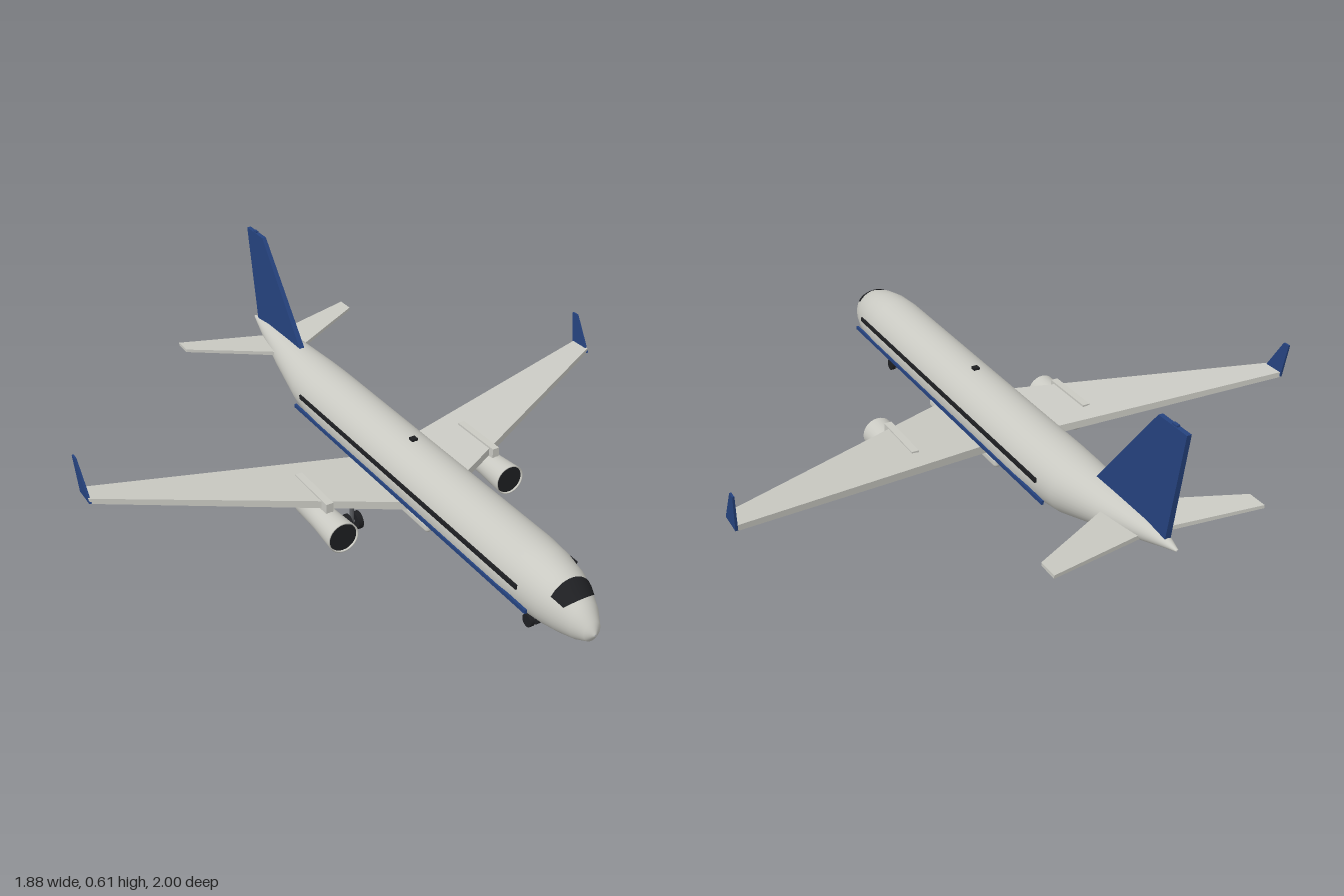
import * as THREE from 'three';
import { RoundedBoxGeometry } from 'three/addons/geometries/RoundedBoxGeometry.js';

const material = (name, color, extra = {}) => {
  const m = new THREE.MeshStandardMaterial({ color, ...extra });
  m.name = name;
  return m;
};

// Fuselage stations: z, top y, bottom y, half width
const STATIONS = [
  [1.0, 0.147, 0.141, 0.003], [0.985, 0.18, 0.116, 0.028], [0.95, 0.217, 0.1, 0.05],
  [0.9, 0.248, 0.089, 0.071], [0.85, 0.267, 0.082, 0.086], [0.78, 0.28, 0.077, 0.097],
  [0.7, 0.284, 0.075, 0.103], [-0.32, 0.284, 0.075, 0.103], [-0.42, 0.284, 0.086, 0.101],
  [-0.52, 0.284, 0.102, 0.094], [-0.7, 0.284, 0.16, 0.066], [-0.86, 0.282, 0.214, 0.036],
  [-0.95, 0.272, 0.244, 0.015], [-0.99, 0.262, 0.256, 0.004],
];

// Point on the fuselage skin at a given z and angle around it
function skin(z, angle, grow = 0) {
  let i = 0;
  while (i < STATIONS.length - 2 && z < STATIONS[i + 1][0]) i++;
  const a = STATIONS[i], b = STATIONS[i + 1];
  const t = (z - a[0]) / (b[0] - a[0]);
  const [top, bottom, half] = [1, 2, 3].map((k) => a[k] + (b[k] - a[k]) * t);
  return [
    Math.cos(angle) * (half + grow),
    (top + bottom) / 2 + Math.sin(angle) * ((top - bottom) / 2 + grow),
    z,
  ];
}

// Grid surface from rows of points; closed joins each row into a ring
function loft(rows, closed) {
  const n = rows[0].length, index = [];
  for (let i = 0; i < rows.length - 1; i++) {
    for (let j = 0; j < (closed ? n : n - 1); j++) {
      const k = (j + 1) % n;
      const a = i * n + j, b = a + n, c = i * n + k, d = c + n;
      index.push(a, b, c, c, b, d);
    }
  }
  const g = new THREE.BufferGeometry();
  g.setAttribute('position', new THREE.Float32BufferAttribute(rows.flat(2), 3));
  g.setIndex(index);
  g.computeVertexNormals();
  return g;
}

// Flat panel: four corners [x, y, z, half thickness], thickened along one axis
function slab(corners, axis, side = 1) {
  const pts = [1, -1].flatMap((d) => corners.map((c) => {
    const p = c.slice(0, 3);
    p[axis] += d * c[3];
    p[0] *= side;
    return p;
  }));
  const quads = [[0, 1, 2, 3], [7, 6, 5, 4]];
  for (let i = 0; i < 4; i++) {
    const j = (i + 1) % 4;
    quads.push([i, i + 4, j + 4, j]);
  }
  const position = [];
  for (const [a, b, c, d] of quads) {
    const order = side > 0 ? [a, b, c, a, c, d] : [a, c, b, a, d, c];
    order.forEach((k) => position.push(...pts[k]));
  }
  const g = new THREE.BufferGeometry();
  g.setAttribute('position', new THREE.Float32BufferAttribute(position, 3));
  g.computeVertexNormals();
  return g;
}

export function createModel() {
  const body = material('body grey', 0xc9c9c2);
  const blue = material('livery blue', 0x25427e);
  const dark = material('dark glass', 0x1e1f22, { side: THREE.DoubleSide });
  const metal = material('strut grey', 0x5a5c60);

  const model = new THREE.Group();
  model.name = 'airliner';
  const add = (name, geometry, mat, x = 0, y = 0, z = 0, parent = model) => {
    const mesh = new THREE.Mesh(geometry, mat);
    mesh.name = name;
    mesh.position.set(x, y, z);
    parent.add(mesh);
    return mesh;
  };
  const box = (w, h, d) => new THREE.BoxGeometry(w, h, d);

  // Fuselage
  const rings = STATIONS.map(([z]) =>
    Array.from({ length: 40 }, (_, j) => skin(z, (j / 40) * Math.PI * 2)));
  add('fuselage', loft(rings, true), body);
  add('bellyFairing', new RoundedBoxGeometry(0.15, 0.034, 0.46, 3, 0.012), body, 0, 0.092, 0.07);
  add('beacon', box(0.02, 0.012, 0.02), dark, 0, 0.285, 0.105);

  // Windscreen follows the nose, with its front edge swept back at the sides
  const screen = Array.from({ length: 6 }, (_, i) =>
    Array.from({ length: 17 }, (_, j) => {
      const s = j / 8 - 1;
      const front = 0.94 - 0.016 * s * s;
      return skin(front + (0.884 - front) * (i / 5), Math.PI / 2 + s * 0.95, 0.003);
    }));
  add('windscreen', loft(screen, false), dark);

  // Fin
  add('tailFin', slab([
    [0, 0.275, -0.615, 0.009], [0, 0.262, -0.945, 0.009],
    [0, 0.605, -1.0, 0.007], [0, 0.605, -0.88, 0.007],
  ], 0), blue);
  add('finCap', box(0.01, 0.008, 0.02), blue, 0, 0.606, -0.945);

  // Gear leg with a pair of wheels
  const gear = (name, x, z, radius, width, offset, top) => {
    const group = new THREE.Group();
    group.name = name;
    group.position.set(x, 0, z);
    model.add(group);
    const leg = top - radius;
    add('strut', new THREE.CylinderGeometry(0.007, 0.007, leg, 12), metal, 0, radius + leg / 2, 0, group);
    add('axle', new THREE.CylinderGeometry(0.005, 0.005, offset * 2, 10).rotateZ(Math.PI / 2),
      metal, 0, radius, 0, group);
    for (const s of [-1, 1]) {
      const wheel = new THREE.CylinderGeometry(radius, radius, width, 20).rotateZ(Math.PI / 2);
      add('wheel', wheel, dark, s * offset, radius, 0, group);
    }
  };
  gear('noseGear', 0, 0.735, 0.02, 0.014, 0.013, 0.1);
  gear('leftMainGear', 0.2, 0.065, 0.029, 0.018, 0.018, 0.135);
  gear('rightMainGear', -0.2, 0.065, 0.029, 0.018, 0.018, 0.135);

  for (const s of [1, -1]) {
    const side = s > 0 ? 'left' : 'right';

    // Wing, winglet and tailplane
    add(side + 'Wing', slab([
      [0.04, 0.119, 0.22, 0.014], [0.935, 0.207, -0.205, 0.009],
      [0.935, 0.207, -0.28, 0.009], [0.04, 0.119, -0.103, 0.014],
    ], 1, s), body);
    add(side + 'Winglet', slab([
      [0.932, 0.2, -0.2, 0.004], [0.932, 0.2, -0.281, 0.004],
      [0.937, 0.32, -0.3, 0.003], [0.937, 0.32, -0.275, 0.003],
    ], 0, s), blue);
    add(side + 'Tailplane', slab([
      [0.01, 0.232, -0.695, 0.007], [0.33, 0.255, -0.867, 0.005],
      [0.33, 0.255, -0.93, 0.005], [0.01, 0.232, -0.858, 0.007],
    ], 1, s), body);

    // Engine
    const nacelle = new THREE.LatheGeometry([
      [0, -0.115], [0.042, -0.115], [0.043, 0], [0.051, 0.115], [0.047, 0.115], [0.045, 0.105],
    ].map(([r, y]) => new THREE.Vector2(r, y)), 28).toNonIndexed();
    nacelle.rotateX(Math.PI / 2);
    add(side + 'Nacelle', nacelle, body, s * 0.305, 0.087, 0.086);
    add(side + 'EngineIntake', new THREE.CircleGeometry(0.047, 28), dark, s * 0.305, 0.087, 0.196);
    add(side + 'Pylon', box(0.024, 0.05, 0.2), body, s * 0.305, 0.138, 0.02);

    // Window band and livery stripe
    add(side + 'WindowBand', box(0.006, 0.014, 1.235), dark, s * 0.102, 0.202, 0.167);
    add(side + 'Stripe', box(0.008, 0.012, 1.32), blue, s * 0.101, 0.149, 0.17);
  }
  return model;
}
